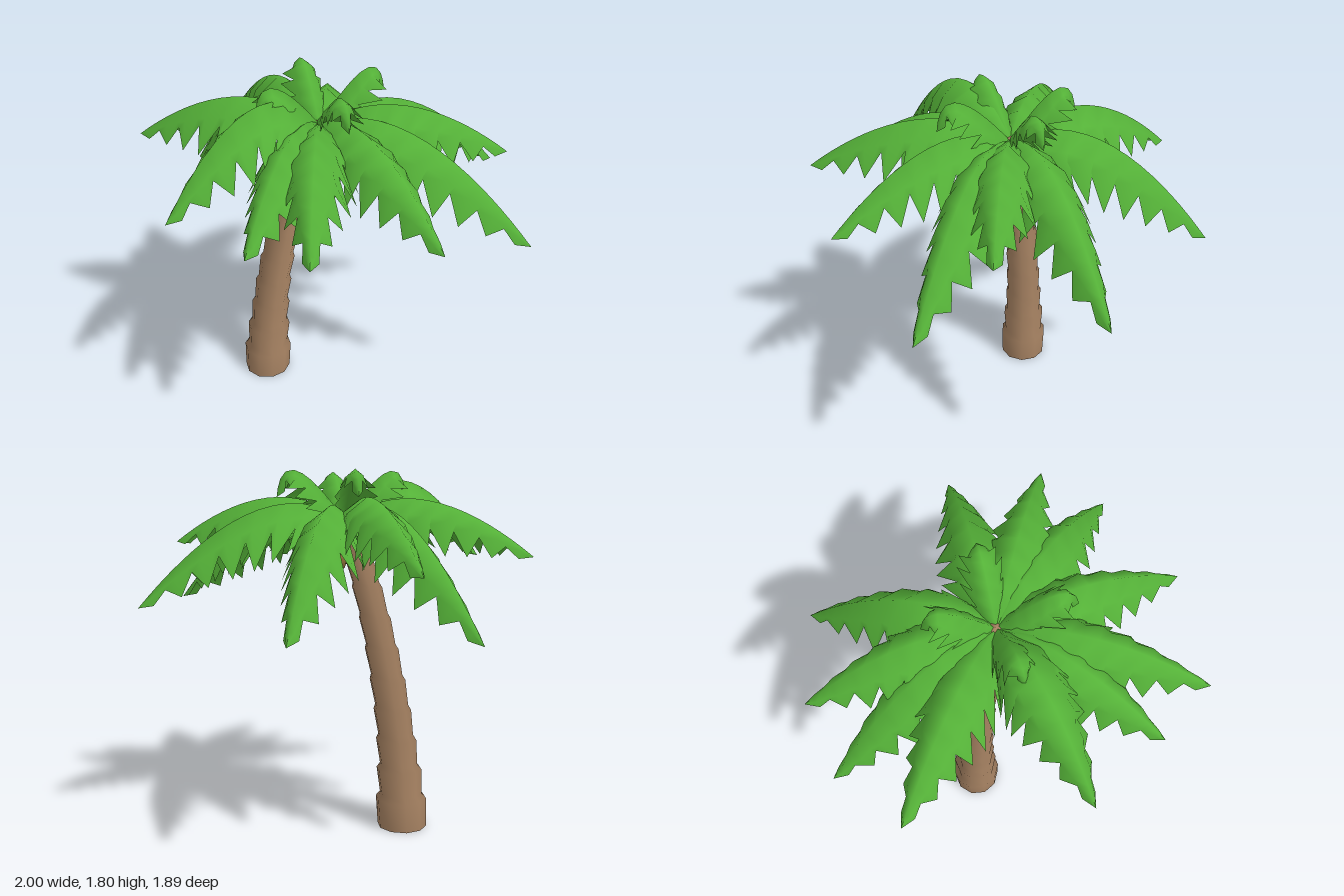
import * as THREE from 'three';

const leafMat = new THREE.MeshStandardMaterial({ color: 0x55b238, side: THREE.DoubleSide });
const barkMat = new THREE.MeshStandardMaterial({ color: 0xa68262 });
const nutMat = new THREE.MeshStandardMaterial({ color: 0x7d6034 });

// Leaning centre line of the trunk
const trunkX = (y) => -0.38 + 0.0214 * y + 0.112 * y * y;
const trunkZ = (y) => 0.04 * (1 - y / 1.5);

function bend(geometry) {
  const p = geometry.attributes.position;
  for (let i = 0; i < p.count; i++) {
    const y = p.getY(i);
    p.setX(i, p.getX(i) + trunkX(y));
    p.setZ(i, p.getZ(i) + trunkZ(y));
  }
  return geometry;
}

// Stacked bark rings, each flaring towards its top
function makeTrunk() {
  const trunk = new THREE.Group();
  trunk.name = 'trunk';
  const radii = [0.126, 0.112, 0.1, 0.093, 0.088, 0.083, 0.078, 0.074, 0.07, 0.066];
  const step = 0.154;
  const profile = [];
  radii.forEach((r, i) => {
    const y = i * step;
    profile.push(new THREE.Vector2(i ? r * 0.96 : r, i ? y + 0.02 : 0));
    profile.push(new THREE.Vector2(r * 1.03, y + step - 0.005));
  });
  profile.push(new THREE.Vector2(0.03, 1.57), new THREE.Vector2(0, 1.58));
  const bark = new THREE.Mesh(bend(new THREE.LatheGeometry(profile, 10)), barkMat);
  bark.name = 'barkRings';
  const foot = new THREE.Mesh(
    bend(new THREE.CircleGeometry(0.126, 10).rotateX(Math.PI / 2).rotateY(Math.PI / 2)), barkMat);
  foot.name = 'trunkBase';
  trunk.add(bark, foot);
  return trunk;
}

// Arched, folded and pleated leaf with long swept teeth along both drooping edges
function frondGeometry(tip, arch, reach, width, teeth) {
  const root = new THREE.Vector3(-0.06, 1.56, 0);
  const control = root.clone().lerp(tip, reach).setY(arch);
  const spine = new THREE.QuadraticBezierCurve3(root, control, tip);
  const up = new THREE.Vector3(0, 1, 0);
  const side = tip.clone().sub(root).setY(0).normalize().cross(up);
  const rows = teeth * 2;
  const positions = [];
  const index = [];
  for (let i = 0; i <= rows; i++) {
    const t = i / rows;
    const centre = spine.getPointAt(t);
    const along = spine.getTangentAt(t);
    const normal = side.clone().cross(along);
    const w = width * Math.max(0, Math.sin(Math.PI * t ** 0.6)) ** 0.8 + 0.012 * (1 - t);
    // [sideways, downwards, forwards] in units of the local width
    const [edge, mid] = i % 2
      ? [[1.1, 1.45, 0.6], [0.6, 0.42, 0.1]]
      : [[0.66, 0.68, 0], [0.5, 0.44, 0]];
    const mirrored = ([out, drop, ahead]) => [-out, drop, ahead];
    for (const [out, drop, ahead] of [mirrored(edge), mirrored(mid), [0, 0, 0], mid, edge]) {
      const v = centre.clone()
        .addScaledVector(side, out * w)
        .addScaledVector(normal, -drop * w)
        .addScaledVector(along, ahead * w);
      positions.push(v.x, v.y, v.z);
    }
    if (i === rows) break;
    for (let j = 0; j < 4; j++) {
      const a = i * 5 + j;
      const b = a + 5;
      index.push(a, a + 1, b, a + 1, b + 1, b);
    }
  }
  const geometry = new THREE.BufferGeometry();
  geometry.setAttribute('position', new THREE.Float32BufferAttribute(positions, 3));
  geometry.setIndex(index);
  geometry.computeVertexNormals();
  return geometry;
}

function makeCrown() {
  const crown = new THREE.Group();
  crown.name = 'crown';
  // Long fronds: tip x, y, z and height of the arch control point
  const longFronds = [
    [1.0, 1.11, 0.02, 1.82],
    [0.8, 1.44, -0.26, 1.83],
    [0.66, 1.15, -0.73, 1.84],
    [-0.31, 1.08, -0.95, 1.84],
    [-0.75, 1.35, -0.6, 1.86],
    [-0.94, 1.05, -0.38, 1.84],
    [-1.0, 1.4, 0.09, 1.83],
    [-0.49, 1.35, 0.76, 2.04],
    [-0.06, 1.34, 0.88, 1.83],
    [0.25, 1.4, 0.94, 1.84],
    [0.7, 1.33, 0.56, 1.84],
  ];
  // Short young fronds that rise steeply and hook over
  const youngFronds = [
    [0.18, 1.67, -0.25, 1.98],
    [0.18, 1.67, 0.27, 1.98],
    [-0.27, 1.67, 0.27, 1.98],
    [-0.27, 1.67, -0.25, 1.98],
  ];
  const add = (name, [x, y, z, arch], ...shape) => {
    const mesh = new THREE.Mesh(frondGeometry(new THREE.Vector3(x, y, z), arch, ...shape), leafMat);
    mesh.name = name;
    crown.add(mesh);
  };
  longFronds.forEach((f, i) => add(`longFrond${i + 1}`, f, 0.42, 0.165, 8));
  youngFronds.forEach((f, i) => add(`youngFrond${i + 1}`, f, 0.92, 0.09, 6));
  return crown;
}

// Cluster of nuts below the crown: x, y, z and radius
function makeCoconuts() {
  const nuts = new THREE.Group();
  nuts.name = 'coconuts';
  [[-0.03, 1.39, 0.06, 0.058], [0.04, 1.37, 0.0, 0.054], [-0.07, 1.35, -0.1, 0.046]].forEach(([x, y, z, r], i) => {
    const nut = new THREE.Mesh(new THREE.SphereGeometry(r, 12, 9), nutMat);
    nut.name = `coconut${i + 1}`;
    nut.position.set(x, y, z);
    nuts.add(nut);
  });
  return nuts;
}

export function createModel() {
  const palm = new THREE.Group();
  palm.name = 'palmTree';
  palm.add(makeTrunk(), makeCrown(), makeCoconuts());
  return palm;
}
